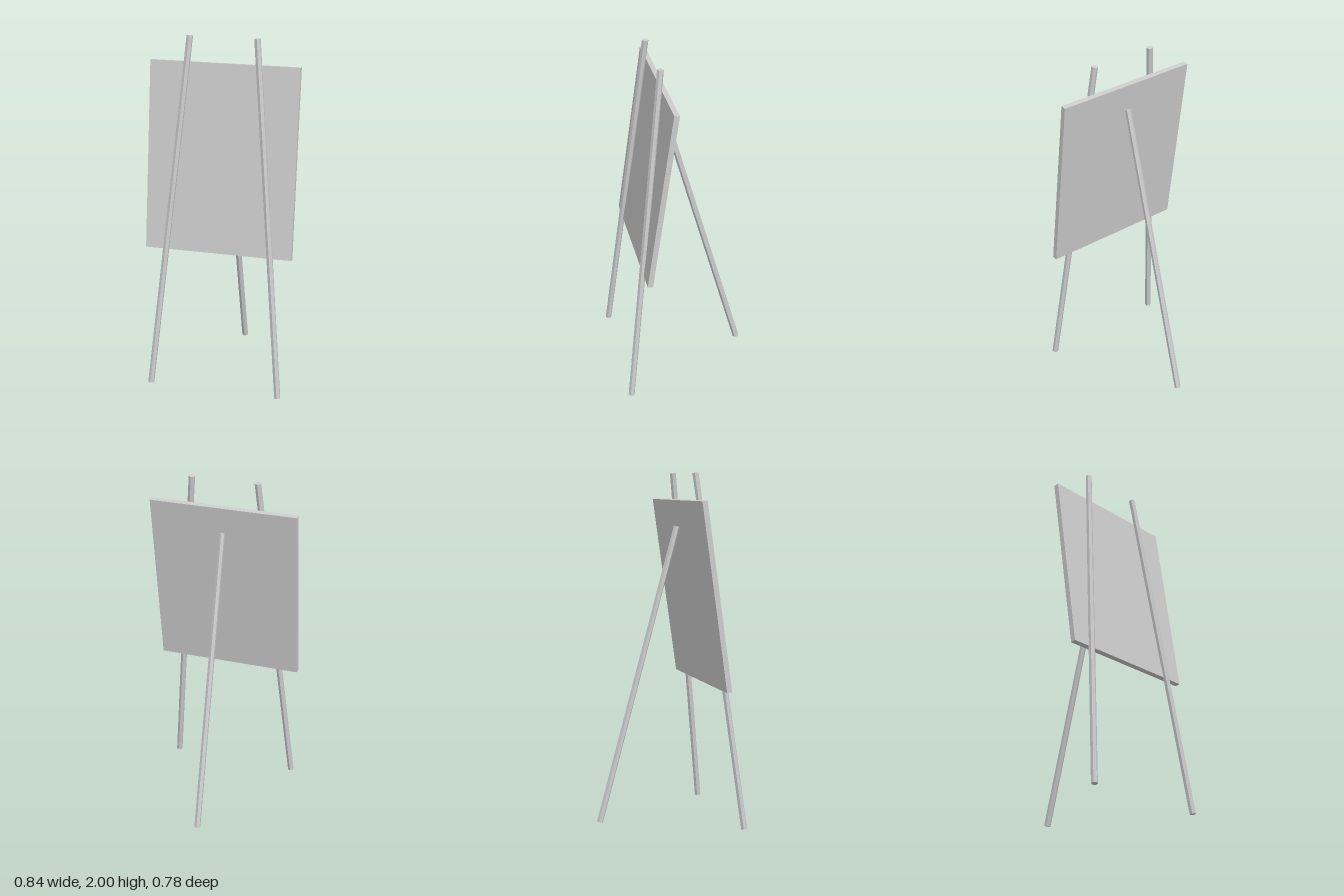
import * as THREE from 'three';

export function createModel() {
  const model = new THREE.Group();
  const grey = new THREE.MeshStandardMaterial({ color: 0xcccccc, flatShading: true });
  grey.name = 'light grey';

  // Six-sided pole running between two points
  function addPole(name, foot, tip, footRadius, tipRadius) {
    const axis = tip.clone().sub(foot);
    const geometry = new THREE.CylinderGeometry(tipRadius, footRadius, axis.length(), 6);
    const pole = new THREE.Mesh(geometry, grey);
    pole.name = name;
    pole.position.copy(foot).add(tip).multiplyScalar(0.5);
    pole.quaternion.setFromUnitVectors(new THREE.Vector3(0, 1, 0), axis.normalize());
    model.add(pole);
  }

  // Pair of front legs, converging towards the top
  for (const [name, s] of [['leftFrontLeg', 1], ['rightFrontLeg', -1]]) {
    addPole(name, new THREE.Vector3(s * 0.375, 0.003, 0.371),
      new THREE.Vector3(s * 0.187, 1.997, 0.137), 0.018, 0.018);
  }

  // Single rear prop
  addPole('backLeg', new THREE.Vector3(0, 0.008, -0.371),
    new THREE.Vector3(0, 1.698, 0.094), 0.0185, 0.017);

  // Board leaning back against the legs
  const board = new THREE.Mesh(new THREE.BoxGeometry(0.84, 1.056, 0.03), grey);
  board.name = 'board';
  board.position.set(0, 1.325, 0.181);
  board.rotation.x = -0.144;
  model.add(board);

  return model;
}
